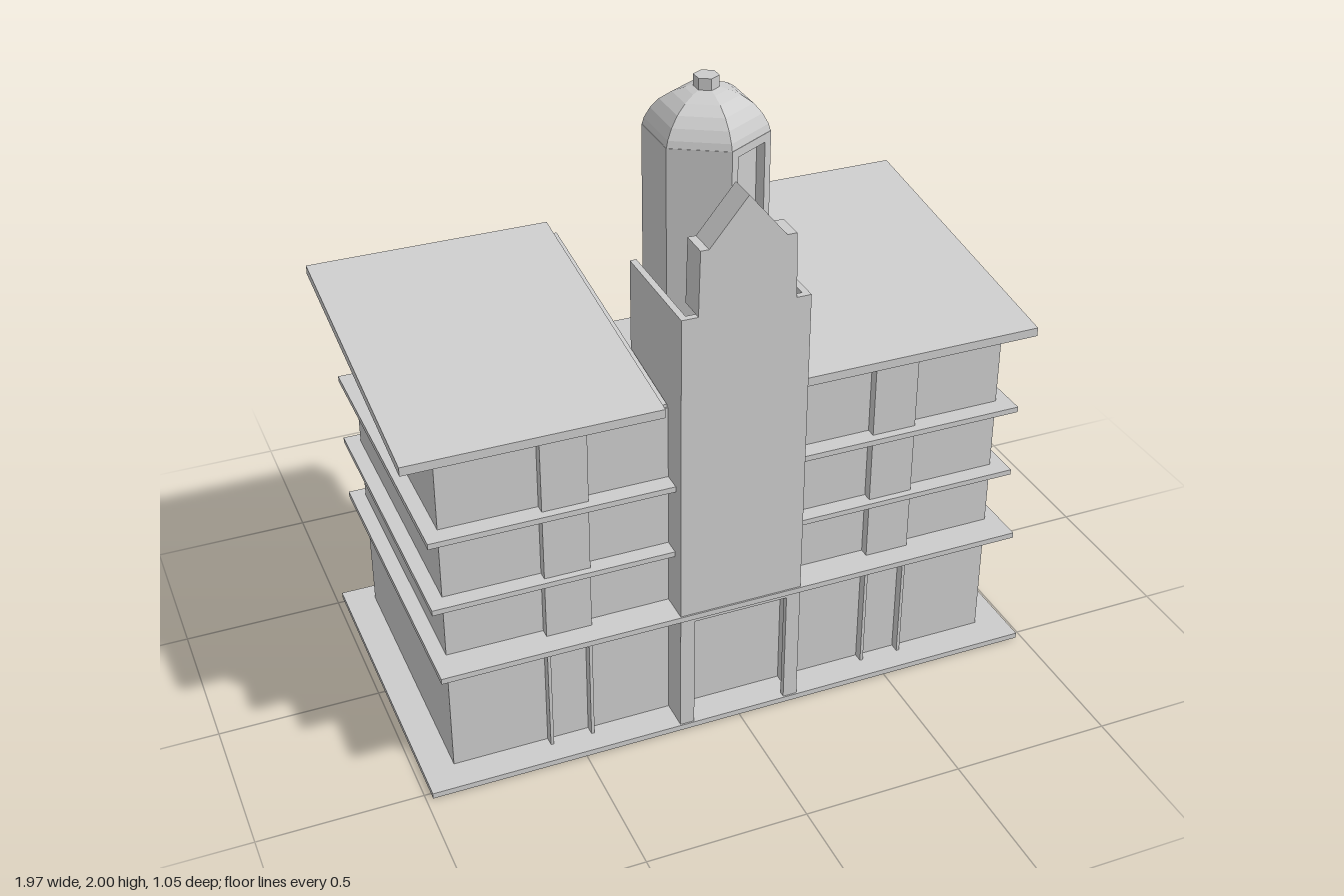
import * as THREE from 'three';

const mat = new THREE.MeshStandardMaterial({ color: 0xcccccc, flatShading: true, side: THREE.DoubleSide });

function add(parent, name, geo) {
  const mesh = new THREE.Mesh(geo, mat);
  mesh.name = name;
  parent.add(mesh);
  return mesh;
}

// Box given by its limits on each axis
function box(parent, name, x0, x1, y0, y1, z0, z1) {
  const geo = new THREE.BoxGeometry(x1 - x0, y1 - y0, z1 - z0);
  geo.translate((x0 + x1) / 2, (y0 + y1) / 2, (z0 + z1) / 2);
  return add(parent, name, geo);
}

const toPoints = (list) => list.map(([x, y]) => new THREE.Vector2(x, y));

// Outline in x and y, extruded from z0 to z1
function panel(outline, z0, z1, hole) {
  const shape = new THREE.Shape(toPoints(outline));
  if (hole) shape.holes.push(new THREE.Path(toPoints(hole)));
  const geo = new THREE.ExtrudeGeometry(shape, { depth: z1 - z0, bevelEnabled: false });
  return geo.translate(0, 0, z0);
}

// Outline in z and y, extruded from x0 to x1
function sidePanel(outline, x0, x1) {
  const geo = panel(outline, 0, x1 - x0);
  return geo.rotateY(-Math.PI / 2).translate(x1, 0, 0);
}

const rect = (x0, x1, y0, y1) => [[x0, y0], [x1, y0], [x1, y1], [x0, y1]];

function buildWings(root) {
  for (const s of [1, -1]) {
    const wing = new THREE.Group();
    wing.name = s > 0 ? 'leftWing' : 'rightWing';
    root.add(wing);
    const span = (a, b) => (s > 0 ? [a, b] : [-b, -a]);

    // End wall with sloping top, and front wall
    add(wing, 'endWall', sidePanel(
      [[-0.455, 0], [0.425, 0], [0.425, 1.1], [-0.455, 1.22]], ...span(0.865, 0.885)));
    box(wing, 'frontWall', ...span(0.19, 0.88), 0, 1.1, 0.405, 0.425);

    // Pilaster with a pointed niche at ground level
    const [p0, p1] = span(0.45, 0.59);
    const [n0, n1] = span(0.46, 0.58);
    const mid = (n0 + n1) / 2;
    const niche = [[n0, 0.02], [n1, 0.02], [n1, 0.35], [mid + 0.02, 0.377], [mid, 0.383],
      [mid - 0.02, 0.377], [n0, 0.35]];
    add(wing, 'pilaster', panel(rect(p0, p1, 0, 1.1), 0.425, 0.455, niche));

    // Sloping roof slab and the narrow lip along its inner edge
    add(wing, 'roof', sidePanel(
      [[0.46, 1.092], [0.46, 1.12], [-0.525, 1.25], [-0.525, 1.222]], ...span(0.217, 0.987)));
    add(wing, 'roofLip', sidePanel(
      [[0.42, 1.085], [0.42, 1.11], [-0.49, 1.225], [-0.49, 1.2]], ...span(0.197, 0.222)));
  }
}

function buildTower(root) {
  const tower = new THREE.Group();
  tower.name = 'entranceTower';
  root.add(tower);

  // Front with doorway, recessed door wall and side walls
  add(tower, 'towerFront', panel(rect(-0.195, 0.195, 0, 1.43), 0.5, 0.52,
    rect(-0.15, 0.15, 0.02, 0.4)));
  box(tower, 'doorWall', -0.2, 0.2, 0, 0.42, 0.405, 0.425);
  for (const s of [1, -1]) {
    const x0 = s > 0 ? 0.175 : -0.195;
    add(tower, 'towerSide', sidePanel(
      [[0.405, 0], [0.518, 0], [0.518, 1.43], [0.14, 1.43], [0.14, 0.87], [0.405, 0.87]],
      x0, x0 + 0.02));
  }

  // Gable with shoulders on top of the front
  add(tower, 'gable', panel([[-0.145, 1.43], [0.15, 1.43], [0.145, 1.63], [0.115, 1.63],
    [0, 1.77], [-0.115, 1.63], [-0.14, 1.63]], 0.43, 0.52));
}

function buildLantern(root) {
  const lantern = new THREE.Group();
  lantern.name = 'lantern';
  lantern.position.z = 0.227;
  root.add(lantern);

  const R = 0.179, apothem = R * Math.cos(Math.PI / 6), half = R / 2;
  const windowFaces = [0, 1, 3]; // front left, left and right faces
  for (let i = 0; i < 6; i++) {
    const face = new THREE.Group();
    face.name = 'drumFace';
    face.rotation.y = Math.PI / 6 + (i * Math.PI) / 3;
    lantern.add(face);
    const hasWindow = windowFaces.includes(i) || i === 1;
    add(face, 'drumWall', panel(rect(-half, half, 0.87, 1.845), apothem - 0.03, apothem,
      hasWindow ? rect(-0.062, 0.062, 1.38, 1.82) : null));
    if (hasWindow) box(face, 'windowPane', -0.07, 0.07, 1.36, 1.83, apothem - 0.035, apothem - 0.028);
  }
  lantern.children.forEach((f, i) => { f.name = `drumFace${i + 1}`; });

  // Six-sided dome and finial
  const dome = [[R, 1.84], [0.172, 1.865], [0.155, 1.895], [0.13, 1.923], [0.095, 1.946],
    [0.06, 1.96], [0.036, 1.966], [0, 1.966]];
  add(lantern, 'dome', new THREE.LatheGeometry(toPoints(dome), 6));
  add(lantern, 'finial', new THREE.CylinderGeometry(0.036, 0.036, 0.04, 6).translate(0, 1.98, 0));
}

export function createModel() {
  const root = new THREE.Group();
  root.name = 'building';

  // Ground slab and floors, open at the back
  box(root, 'groundSlab', -0.98, 0.98, 0.002, 0.02, -0.522, 0.525);
  box(root, 'firstFloor', -0.93, 0.93, 0.412, 0.43, -0.495, 0.525);
  box(root, 'secondFloor', -0.93, 0.93, 0.62, 0.637, -0.495, 0.477);
  box(root, 'thirdFloor', -0.93, 0.93, 0.85, 0.868, -0.487, 0.482);

  buildWings(root);
  buildTower(root);
  buildLantern(root);
  return root;
}
